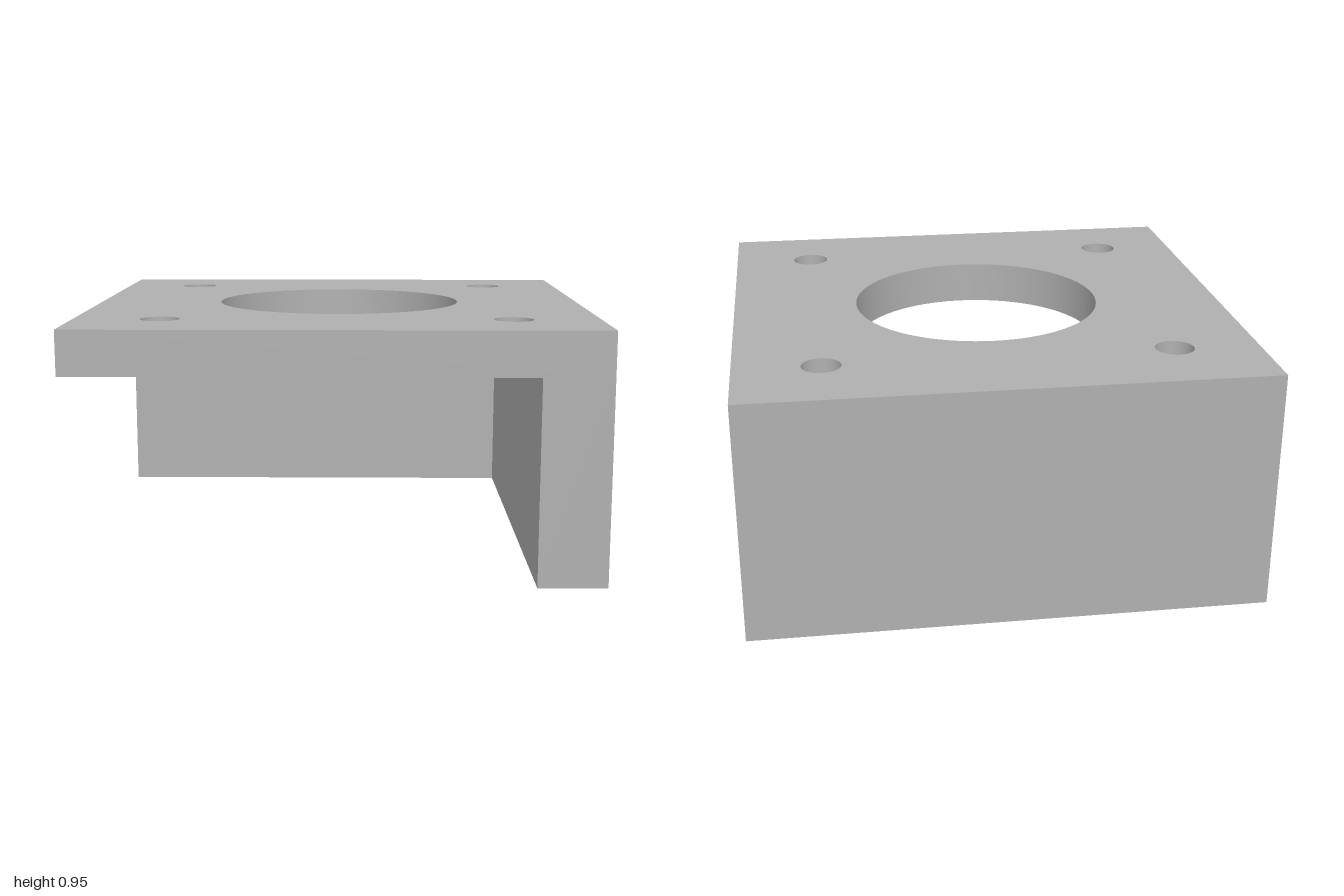
import * as THREE from 'three';
import { toCreasedNormals } from 'three/addons/utils/BufferGeometryUtils.js';

const SIZE = 2, HEIGHT = 0.95, PLATE = 0.17, WALL = 0.26;
const WALL_HEIGHT = HEIGHT - PLATE;

export function createModel() {
  const group = new THREE.Group();
  group.name = 'cornerMountingBracket';
  const grey = new THREE.MeshStandardMaterial({ color: 0xb0b0b0 });
  grey.name = 'plain grey';

  const add = (name, geometry, x, y, z) => {
    const mesh = new THREE.Mesh(geometry, grey);
    mesh.name = name;
    mesh.position.set(x, y, z);
    group.add(mesh);
  };

  // Square plate with a large centre bore and four screw holes
  const h = SIZE / 2;
  const outline = new THREE.Shape([
    new THREE.Vector2(-h, -h), new THREE.Vector2(h, -h),
    new THREE.Vector2(h, h), new THREE.Vector2(-h, h),
  ]);
  const drill = (x, y, r) =>
    outline.holes.push(new THREE.Path().absarc(x, y, r, 0, Math.PI * 2, true));
  drill(0, 0, 0.5);
  for (const x of [-0.67, 0.67]) for (const y of [-0.67, 0.67]) drill(x, y, 0.075);
  const plate = new THREE.ExtrudeGeometry(outline, {
    depth: PLATE, bevelEnabled: false, curveSegments: 64,
  });
  plate.rotateX(-Math.PI / 2);
  add('topPlate', toCreasedNormals(plate, 0.5), 0, WALL_HEIGHT, 0);

  // Two walls meeting at the back corner
  add('sideWall', new THREE.BoxGeometry(WALL, WALL_HEIGHT, SIZE),
    h - WALL / 2, WALL_HEIGHT / 2, 0);
  add('backWall', new THREE.BoxGeometry(SIZE - WALL, WALL_HEIGHT, WALL),
    -WALL / 2, WALL_HEIGHT / 2, -h + WALL / 2);

  return group;
}
